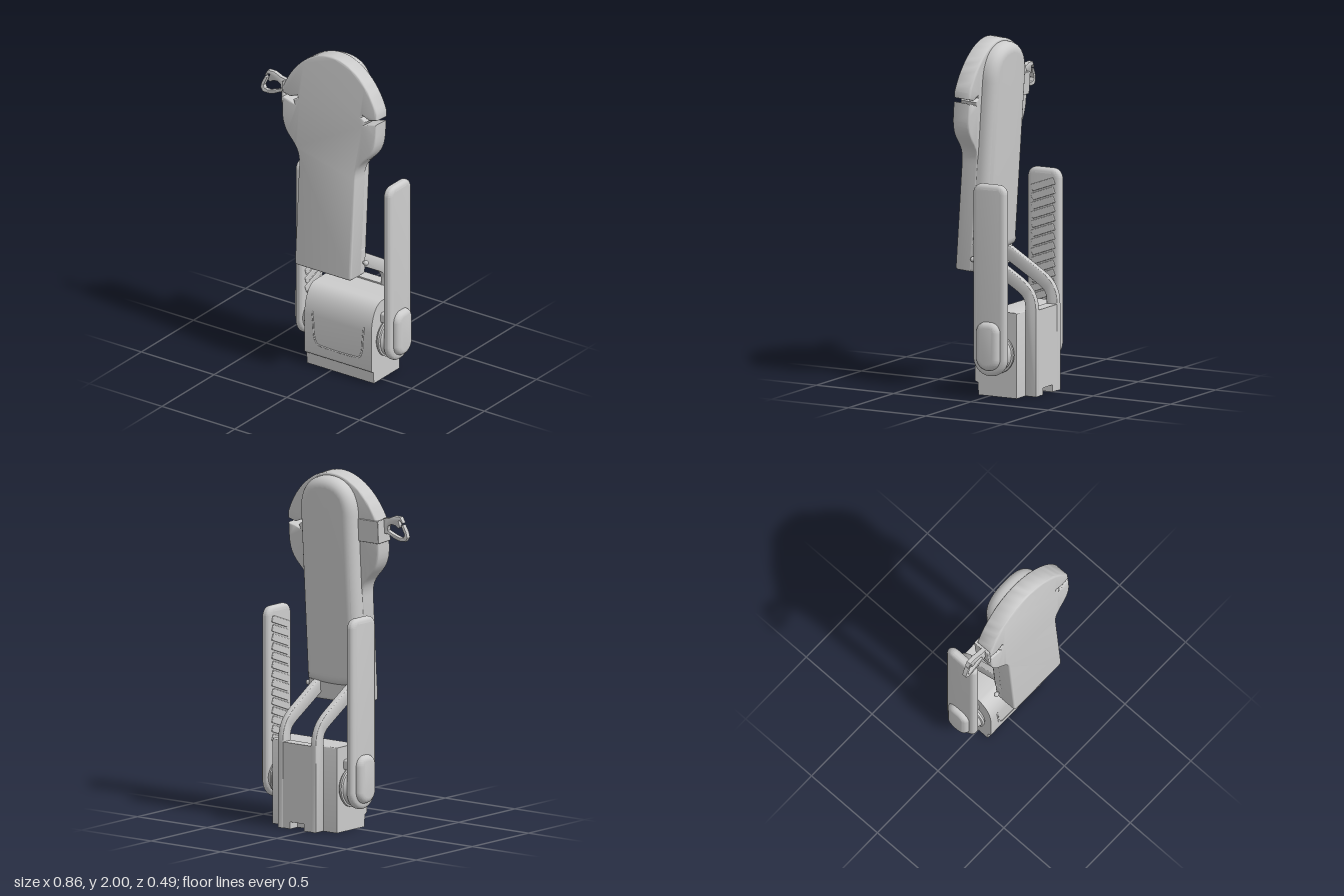
import * as THREE from 'three';
import { toCreasedNormals } from 'three/addons/utils/BufferGeometryUtils.js';
import { RoundedBoxGeometry } from 'three/addons/geometries/RoundedBoxGeometry.js';

const CX = 0.062; // centre plane of the machine
const grey = new THREE.MeshStandardMaterial({ color: 0xcccccc, side: THREE.DoubleSide });

function add(parent, name, geo, x = 0, y = 0, z = 0) {
  const m = new THREE.Mesh(geo, grey);
  m.name = name;
  m.position.set(x, y, z);
  parent.add(m);
  return m;
}

const poly = (pts) => new THREE.Shape(pts.map(([a, b]) => new THREE.Vector2(a, b)));

// Extrusion centred on z, bevel kept inside the outline and the thickness
function slab(shape, thick, bevelT = 0, bevelS = bevelT, segs = 4) {
  const g = new THREE.ExtrudeGeometry(shape, {
    depth: thick - 2 * bevelT, bevelEnabled: bevelT > 0, bevelThickness: bevelT,
    bevelSize: bevelS, bevelOffset: -bevelS, bevelSegments: segs, curveSegments: 14,
  });
  g.translate(0, 0, bevelT - thick / 2);
  return toCreasedNormals(g, 0.6);
}

// Same, for a side profile drawn as (z, y) and extruded along x
const sideSlab = (...args) => slab(...args).rotateY(-Math.PI / 2);

// Upright bar with separate bottom and top corner radii
function bar(z0, z1, y0, y1, rb, rt) {
  const s = new THREE.Shape();
  s.moveTo(z0 + rb, y0);
  s.lineTo(z1 - rb, y0);
  s.absarc(z1 - rb, y0 + rb, rb, -Math.PI / 2, 0);
  s.absarc(z1 - rt, y1 - rt, rt, 0, Math.PI / 2);
  s.absarc(z0 + rt, y1 - rt, rt, Math.PI / 2, Math.PI);
  s.absarc(z0 + rb, y0 + rb, rb, Math.PI, Math.PI * 1.5);
  return s;
}

// Half outline of the board with the side notch, mirrored to a full shape
function boardShape() {
  const h = new THREE.Shape();
  h.moveTo(0.175, 0.69);
  h.quadraticCurveTo(0.193, 0.69, 0.193, 0.71);
  h.lineTo(0.193, 1.3);
  h.bezierCurveTo(0.193, 1.45, 0.323, 1.42, 0.323, 1.6);
  h.lineTo(0.323, 1.675);
  h.lineTo(0.275, 1.665);
  h.lineTo(0.24, 1.652);
  h.lineTo(0.25, 1.672);
  h.lineTo(0.22, 1.692);
  h.lineTo(0.225, 1.703);
  h.lineTo(0.272, 1.684);
  h.lineTo(0.323, 1.698);
  h.lineTo(0.323, 1.735);
  h.bezierCurveTo(0.27, 1.88, 0.14, 2.0, 0.0, 2.0);
  const right = h.getPoints(14);
  const left = right.slice(0, -1).reverse().map((p) => new THREE.Vector2(-p.x, p.y));
  return new THREE.Shape([...right, ...left]);
}

function buildBackrest() {
  const tilt = new THREE.Group();
  tilt.name = 'backrest';
  tilt.position.set(CX, 0.69, 0.245);
  tilt.rotation.x = -0.0653;
  const g = new THREE.Group();
  g.position.y = -0.69;
  tilt.add(g);

  add(g, 'board', slab(boardShape(), 0.105, 0.012), 0, 0, -0.0525);

  // Domed spine shell on the back
  const s = new THREE.Shape();
  s.moveTo(-0.19, 0.8);
  s.quadraticCurveTo(0, 0.77, 0.19, 0.8);
  s.lineTo(0.19, 1.78);
  s.bezierCurveTo(0.19, 1.92, 0.11, 1.985, 0, 1.985);
  s.bezierCurveTo(-0.11, 1.985, -0.19, 1.92, -0.19, 1.78);
  s.closePath();
  add(g, 'spineShell', slab(s, 0.165, 0.06, 0.055, 6), 0, 0, -0.0985);
  add(g, 'lowerBlock', new RoundedBoxGeometry(0.384, 0.17, 0.148, 3, 0.018), 0, 0.776, -0.075);

  // Pivot pin with end knobs
  add(g, 'pivotPin', new THREE.CylinderGeometry(0.008, 0.008, 0.42, 12).rotateZ(Math.PI / 2), 0, 0.77, -0.12);
  for (const k of [-1, 1])
    add(g, 'pivotKnob', new THREE.SphereGeometry(0.015, 14, 10), k * 0.21, 0.77, -0.12);

  // Strap and open hook on the right edge
  add(g, 'strapSide', new RoundedBoxGeometry(0.016, 0.13, 0.105, 2, 0.005), -0.325, 1.695, -0.058);
  add(g, 'strapBack', new RoundedBoxGeometry(0.16, 0.13, 0.012, 2, 0.004), -0.252, 1.695, -0.107);
  const hook = poly([
    [-0.325, 1.68], [-0.36, 1.678], [-0.4, 1.658], [-0.44, 1.648], [-0.48, 1.65], [-0.495, 1.672],
    [-0.488, 1.705], [-0.467, 1.745], [-0.452, 1.742], [-0.46, 1.72], [-0.475, 1.69],
    [-0.465, 1.67], [-0.44, 1.668], [-0.395, 1.682], [-0.355, 1.7], [-0.36, 1.725], [-0.38, 1.738],
    [-0.41, 1.735], [-0.432, 1.72], [-0.445, 1.73], [-0.435, 1.765], [-0.45, 1.765],
    [-0.458, 1.75], [-0.468, 1.755], [-0.45, 1.788], [-0.405, 1.788], [-0.36, 1.77], [-0.325, 1.765],
  ]);
  add(g, 'hook', slab(hook, 0.028, 0.004, 0.003, 2), 0, 0, -0.044);
  return tilt;
}

function buildBase() {
  const g = new THREE.Group();
  g.name = 'base';

  // Housing, open underneath
  const s = new THREE.Shape();
  s.moveTo(-0.175, 0);
  s.lineTo(-0.16, 0);
  s.lineTo(-0.16, 0.2);
  s.lineTo(0.06, 0.2);
  s.lineTo(0.06, 0);
  s.lineTo(0.072, 0);
  s.lineTo(0.076, 0.072);
  s.quadraticCurveTo(0.094, 0.072, 0.096, 0.09);
  s.lineTo(0.096, 0.32);
  s.bezierCurveTo(0.094, 0.4, 0.06, 0.485, -0.01, 0.485);
  s.lineTo(-0.165, 0.485);
  s.quadraticCurveTo(-0.175, 0.485, -0.175, 0.475);
  s.closePath();
  add(g, 'housing', sideSlab(s, 0.46), CX);
  for (const k of [-1, 1])
    add(g, 'housingCheek', new THREE.BoxGeometry(0.012, 0.2, 0.22), CX + k * 0.224, 0.1, -0.05);

  // Raised rim on the front panel
  const rim = new THREE.CatmullRomCurve3([
    [-0.178, 0.345], [-0.17, 0.27], [-0.163, 0.19], [-0.145, 0.15], [-0.09, 0.142],
    [0.09, 0.142], [0.145, 0.15], [0.163, 0.19], [0.17, 0.27], [0.178, 0.345],
  ].map(([x, y]) => new THREE.Vector3(x, y, 0.093)));
  add(g, 'panelRim', new THREE.TubeGeometry(rim, 60, 0.006, 8), CX);

  // Notched back plate
  const plate = poly([
    [-0.1, 0], [-0.05, 0], [-0.05, 0.04], [0.05, 0.04], [0.05, 0], [0.1, 0], [0.1, 0.49], [-0.1, 0.49],
  ]);
  add(g, 'backPlate', slab(plate, 0.068), CX, 0, -0.208);

  // Curved struts carrying the backrest
  const strut = new THREE.Shape();
  strut.moveTo(-0.245, 0);
  strut.lineTo(-0.175, 0);
  strut.lineTo(-0.175, 0.5);
  strut.bezierCurveTo(-0.175, 0.56, -0.15, 0.575, -0.1, 0.605);
  strut.lineTo(0.12, 0.735);
  strut.lineTo(0.12, 0.805);
  strut.lineTo(0.06, 0.79);
  strut.lineTo(-0.14, 0.668);
  strut.bezierCurveTo(-0.2, 0.63, -0.245, 0.58, -0.245, 0.49);
  strut.closePath();
  for (const k of [-1, 1])
    add(g, 'strut', sideSlab(strut, 0.036, 0.004), CX + k * 0.1185);
  return g;
}

// One arm on the +x side of the centre plane; side = -1 mirrors it
function buildArm(side) {
  const g = new THREE.Group();
  g.name = side > 0 ? 'leftArm' : 'rightArm';
  g.position.x = CX;
  const at = (x) => side * x;
  add(g, 'armBar', sideSlab(bar(-0.157, 0.056, 0.13, 1.22, 0.104, 0.055), 0.055, 0.022, 0.03, 5), at(0.303));

  // Slanted ribs along the inner face
  for (let i = 0; i < 14; i++) {
    const rib = add(g, 'armRib', new RoundedBoxGeometry(0.012, 0.04, 0.155, 2, 0.005), at(0.277), 0.45 + i * 0.052, -0.05);
    rib.rotation.x = 0.35;
  }

  // Outer hub cap
  add(g, 'hubCap', sideSlab(bar(-0.127, 0.023, 0.165, 0.44, 0.072, 0.06), 0.075, 0.032, 0.034, 5), at(0.325));

  // Barrel joint between the arm and the housing
  const profile = [[0, 0], [0.1, 0], [0.115, 0.018], [0.115, 0.03], [0.105, 0.034], [0.095, 0.06], [0, 0.06]];
  const barrel = new THREE.LatheGeometry(profile.map(([r, h]) => new THREE.Vector2(r, h)), 36);
  const joint = add(g, 'hubJoint', toCreasedNormals(barrel, 0.6), at(0.226), 0.25, -0.053);
  joint.rotation.z = -side * Math.PI / 2;
  add(g, 'jointTab', new RoundedBoxGeometry(0.07, 0.06, 0.12, 3, 0.012), at(0.25), 0.38, -0.053);
  return g;
}

export function createModel() {
  const model = new THREE.Group();
  model.name = 'recliningChair';
  model.add(buildBase(), buildBackrest(), buildArm(1), buildArm(-1));
  return model;
}
